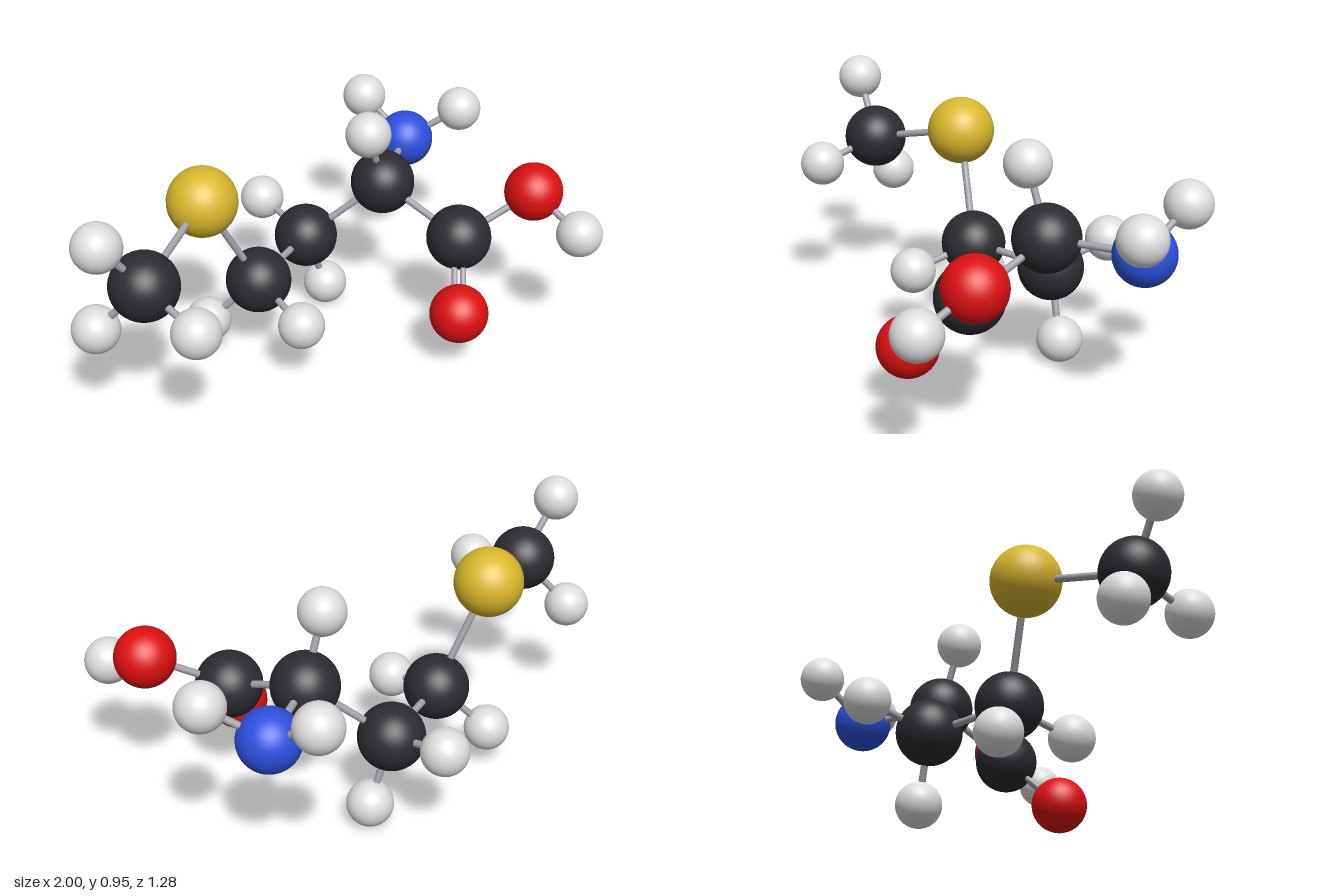
import * as THREE from 'three';

const material = (name, color) => {
  const m = new THREE.MeshStandardMaterial({ color });
  m.name = name;
  return m;
};

export function createModel() {
  const model = new THREE.Group();
  model.name = 'ballAndStickMolecule';

  // One radius and colour per element
  const elements = {
    carbon: { radius: 0.125, mat: material('charcoal', 0x2b2b31) },
    hydrogen: { radius: 0.0875, mat: material('white', 0xdedede) },
    oxygen: { radius: 0.112, mat: material('red', 0xdd1010) },
    nitrogen: { radius: 0.113, mat: material('blue', 0x2b50dd) },
    sulfur: { radius: 0.131, mat: material('yellow', 0xd9b82c) },
  };
  const bondMat = material('bondGrey', 0xa2a2ac);
  for (const e of Object.values(elements)) e.geo = new THREE.SphereGeometry(e.radius, 40, 28);

  // Atoms: element and centre
  const atoms = {
    methylCarbon: ['carbon', -0.75, 0.65, 0.03],
    sulfur: ['sulfur', -0.37, 0.75, -0.18],
    gammaCarbon: ['carbon', -0.163, 0.353, -0.135],
    betaCarbon: ['carbon', 0.18, 0.348, -0.29],
    alphaCarbon: ['carbon', 0.435, 0.581, -0.125],
    acidCarbon: ['carbon', 0.532, 0.458, 0.222],
    doubleOxygen: ['oxygen', 0.393, 0.252, 0.392],
    hydroxylOxygen: ['oxygen', 0.803, 0.618, 0.337],
    nitrogen: ['nitrogen', 0.733, 0.59, -0.338],
    methylHydrogenA: ['hydrogen', -0.914, 0.866, 0.028],
    methylHydrogenB: ['hydrogen', -0.88, 0.452, -0.102],
    methylHydrogenC: ['hydrogen', -0.708, 0.578, 0.283],
    gammaHydrogenA: ['hydrogen', -0.317, 0.167, -0.258],
    gammaHydrogenB: ['hydrogen', -0.156, 0.284, 0.128],
    betaHydrogenA: ['hydrogen', 0.273, 0.092, -0.282],
    betaHydrogenB: ['hydrogen', 0.155, 0.412, -0.553],
    alphaHydrogen: ['hydrogen', 0.335, 0.83, -0.099],
    amineHydrogenA: ['hydrogen', 0.68, 0.722, -0.544],
    amineHydrogenB: ['hydrogen', 0.908, 0.723, -0.21],
    hydroxylHydrogen: ['hydrogen', 0.841, 0.518, 0.554],
  };
  const position = {};
  for (const [name, [element, x, y, z]] of Object.entries(atoms)) {
    const ball = new THREE.Mesh(elements[element].geo, elements[element].mat);
    ball.name = name;
    ball.position.set(x, y, z);
    position[name] = ball.position;
    model.add(ball);
  }

  // A rod between two points, optionally shifted sideways
  const up = new THREE.Vector3(0, 1, 0);
  const addBond = (a, b, radius = 0.0135, shift = 0) => {
    const from = position[a], dir = position[b].clone().sub(from);
    const length = dir.length();
    dir.normalize();
    const rod = new THREE.Mesh(new THREE.CylinderGeometry(radius, radius, length, 16), bondMat);
    rod.name = `bond ${a} to ${b}`;
    rod.quaternion.setFromUnitVectors(up, dir);
    rod.position.copy(from).addScaledVector(dir, length / 2);
    rod.position.addScaledVector(new THREE.Vector3().crossVectors(dir, up).normalize(), shift);
    model.add(rod);
  };

  // Each atom with the atoms it holds by single bonds
  const bonds = {
    methylCarbon: ['sulfur', 'methylHydrogenA', 'methylHydrogenB', 'methylHydrogenC'],
    gammaCarbon: ['sulfur', 'betaCarbon', 'gammaHydrogenA', 'gammaHydrogenB'],
    betaCarbon: ['alphaCarbon', 'betaHydrogenA', 'betaHydrogenB'],
    alphaCarbon: ['acidCarbon', 'nitrogen', 'alphaHydrogen'],
    acidCarbon: ['hydroxylOxygen'],
    hydroxylOxygen: ['hydroxylHydrogen'],
    nitrogen: ['amineHydrogenA', 'amineHydrogenB'],
  };
  for (const [a, list] of Object.entries(bonds)) for (const b of list) addBond(a, b);

  // Double bond: two thinner parallel rods
  for (const side of [-1, 1]) addBond('acidCarbon', 'doubleOxygen', 0.0115, side * 0.016);

  return model;
}
